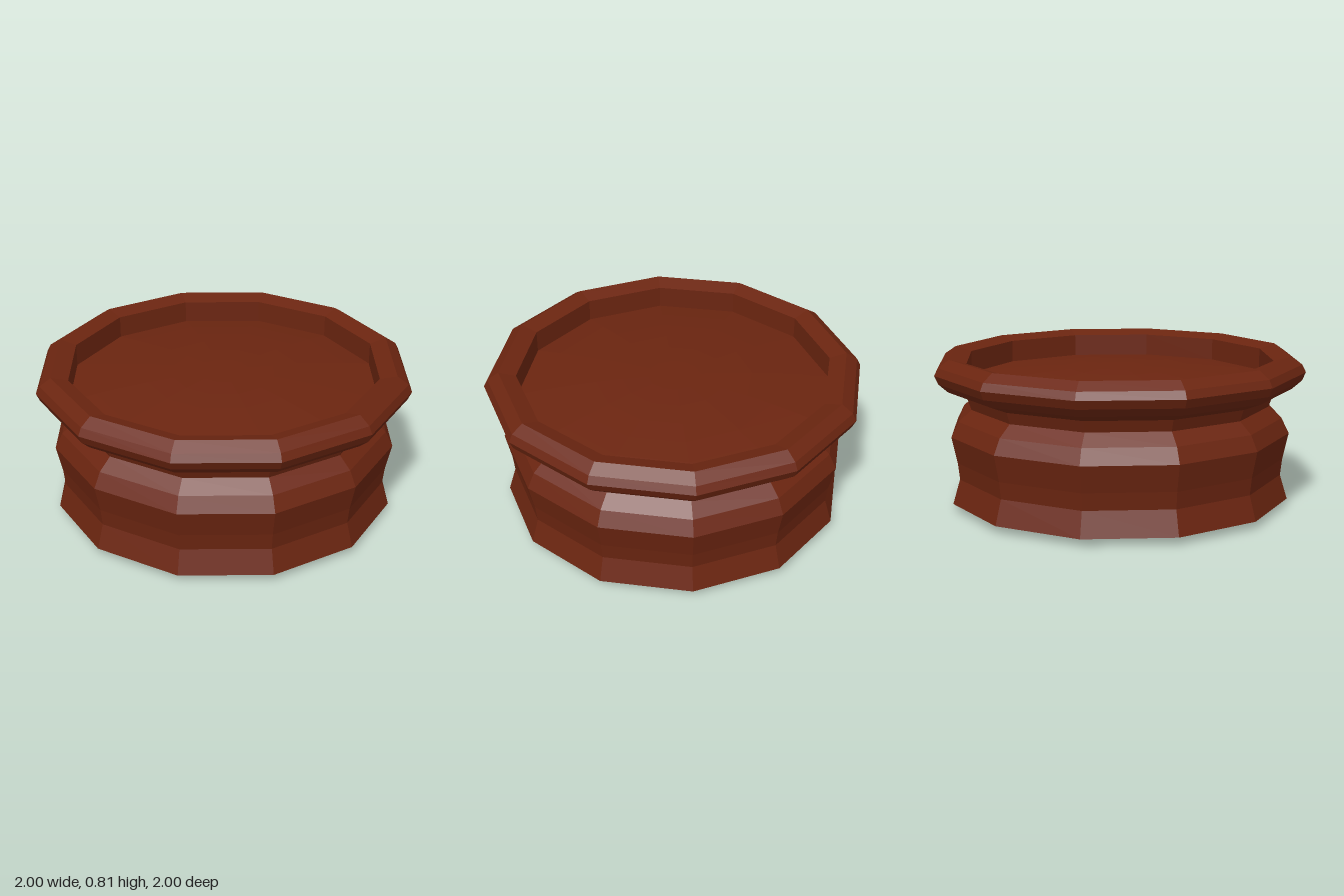
import * as THREE from 'three';

const SIDES = 12;

// Twelve-sided turned shape with flat facets; the profile runs bottom to top on the outside
function turned(name, profile, material) {
  const points = profile.map(([r, y]) => new THREE.Vector2(r, y));
  const geometry = new THREE.LatheGeometry(points, SIDES).toNonIndexed();
  geometry.computeVertexNormals();
  const mesh = new THREE.Mesh(geometry, material);
  mesh.name = name;
  return mesh;
}

// Shallow dome profile from the centre out to the edge
function dome(radius, centreY, edgeY, steps = 6) {
  return Array.from({ length: steps + 1 }, (_, i) => {
    const t = i / steps;
    return [radius * t, centreY + (edgeY - centreY) * t * t];
  });
}

export function createModel() {
  const wood = new THREE.MeshStandardMaterial({ color: 0x6b2510 });
  wood.name = 'reddish brown';

  const group = new THREE.Group();
  group.name = 'turnedPedestal';

  // Flared foot, waisted drum and shoulder
  group.add(turned('drum', [
    [0.8, 0.09], [0.8, 0.04], [0.92, 0.04], [0.88, 0.17], [0.89, 0.26], [0.92, 0.4],
    [0.88, 0.48], [0.81, 0.54],
  ], wood));

  // Neck and rounded rim with a gently sloping lip and an inner wall
  group.add(turned('rim', [
    [0.81, 0.54], [0.83, 0.6], [0.93, 0.64], [0.98, 0.685], [1, 0.73], [0.98, 0.77],
    [0.92, 0.81], [0.83, 0.785], [0.83, 0.66],
  ], wood));

  // Domed underside and domed recessed top
  group.add(turned('undersideDome', dome(0.8, 0, 0.08), wood));
  group.add(turned('topDome', dome(0.83, 0.735, 0.665).reverse(), wood));

  return group;
}
